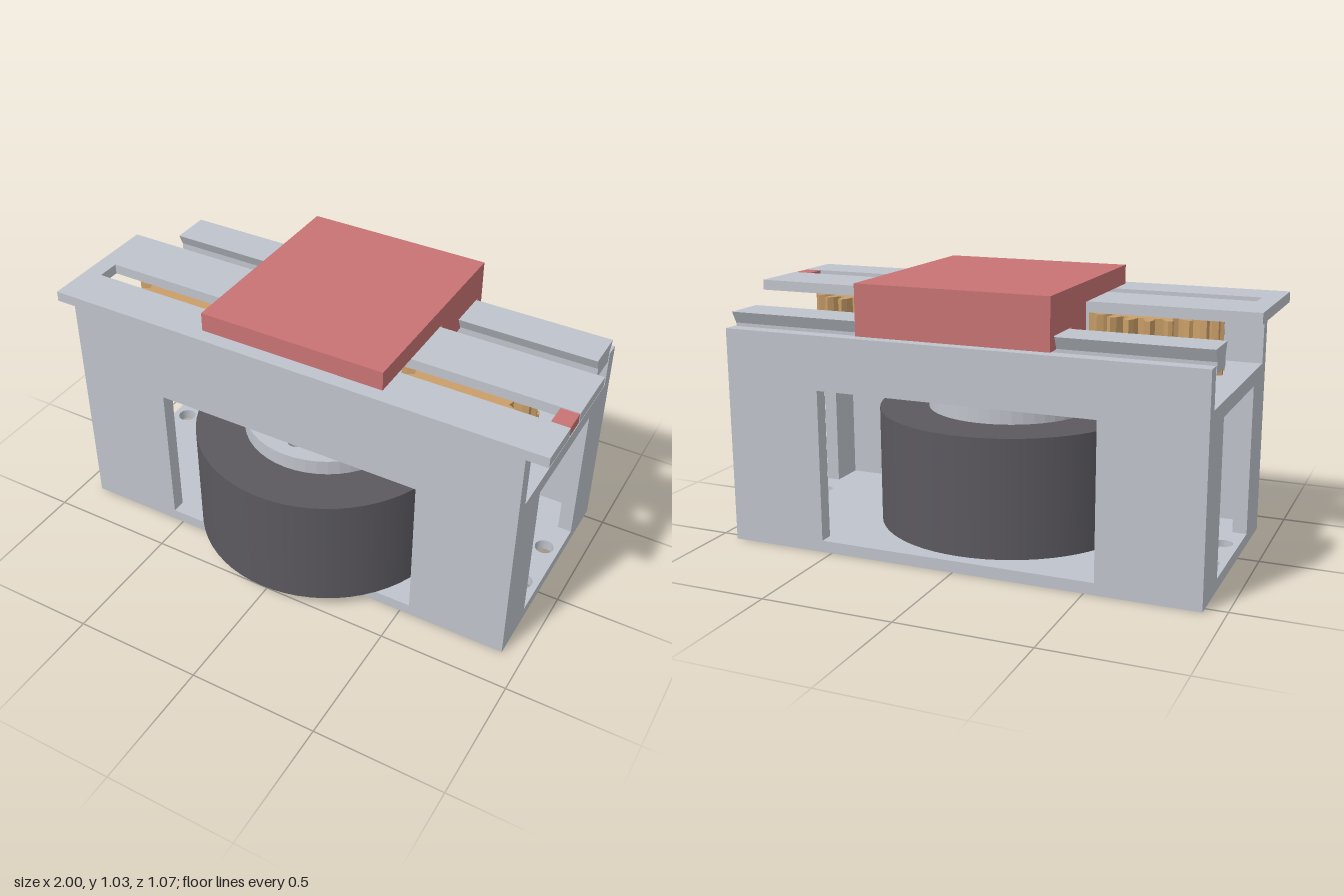
import * as THREE from 'three';

const mat = (name, color) => {
  const m = new THREE.MeshStandardMaterial({ color });
  m.name = name;
  return m;
};

export function createModel() {
  const grey = mat('light grey', 0xbfc3cb);
  const red = mat('muted red', 0xc87373);
  const tan = mat('tan', 0xc99e68);
  const green = mat('soft green', 0x6cc08c);
  const dark = mat('charcoal', 0x5b595f);
  const root = new THREE.Group();
  root.name = 'gearedSlideMechanism';
  const MZ = 0.025; // z of the motor and main gear axes

  const add = (name, geo, material, parent = root) => {
    const m = new THREE.Mesh(geo, material);
    m.name = name;
    parent.add(m);
    return m;
  };
  // box given by its limits
  const box = (name, x0, x1, y0, y1, z0, z1, material = grey, parent = root) =>
    add(name, new THREE.BoxGeometry(x1 - x0, y1 - y0, z1 - z0), material, parent)
      .position.set((x0 + x1) / 2, (y0 + y1) / 2, (z0 + z1) / 2);
  // plan outline (x, z) raised from y0 to y1
  const slab = (shape, y0, y1) => new THREE.ExtrudeGeometry(shape,
    { depth: y1 - y0, bevelEnabled: false, curveSegments: 24 }).rotateX(Math.PI / 2).translate(0, y1, 0);
  // side outline given as [z, y], extended along x
  const bar = (pts, half) => new THREE.ExtrudeGeometry(
    new THREE.Shape(pts.map(([z, y]) => new THREE.Vector2(-z, y))),
    { depth: 2 * half, bevelEnabled: false }).rotateY(Math.PI / 2).translate(-half, 0, 0);
  const hole = (x, z, r) => new THREE.Path().absarc(x, z, r, 0, Math.PI * 2, true);
  const cyl = (name, r, y0, y1, x, z, material, parent = root) =>
    add(name, new THREE.CylinderGeometry(r, r, y1 - y0, 64), material, parent)
      .position.set(x, (y0 + y1) / 2, z);

  // Housing floor with screw holes and a slotted centre hole
  const housing = new THREE.Group();
  housing.name = 'housing';
  root.add(housing);
  const floor = new THREE.Shape();
  floor.moveTo(-0.92, -0.535).lineTo(0.92, -0.535).lineTo(0.92, 0.35).lineTo(-0.92, 0.35).closePath();
  for (const x of [-0.86, 0.86]) for (const z of [0.016, -0.2]) floor.holes.push(hole(x, z, 0.037));
  const w = 0.028, R = 0.16, L = 0.37, a = Math.asin(w / R);
  const slot = new THREE.Path();
  slot.moveTo(R * Math.cos(a), MZ + w);
  slot.absarc(0, MZ, R, a, Math.PI - a, false);
  slot.absarc(-L, MZ, w, Math.PI / 2, Math.PI * 1.5, false);
  slot.absarc(0, MZ, R, Math.PI + a, Math.PI * 2 - a, false);
  slot.absarc(L, MZ, w, -Math.PI / 2, Math.PI / 2, false);
  slot.closePath();
  floor.holes.push(slot);
  add('floor', slab(floor, 0, 0.045), grey, housing);

  // Front and back walls with wide windows
  for (const [side, z0, z1, top] of [['front', 0.295, 0.35, 0.915], ['back', -0.535, -0.48, 0.83]]) {
    for (const s of [-1, 1])
      box(side + 'WallColumn', s < 0 ? -0.92 : 0.538, s < 0 ? -0.538 : 0.92, 0.045, 0.625, z0, z1, grey, housing);
    box(side + 'WallTop', -0.92, 0.92, 0.625, top, z0, z1, grey, housing);
  }
  // End walls: a column either side of each window
  for (const s of [-1, 1]) {
    const x0 = s < 0 ? -0.92 : 0.865;
    box('endColumnFront', x0, x0 + 0.055, 0.045, 0.625, 0.15, 0.295, grey, housing);
    box('endColumnBack', x0, x0 + 0.055, 0.045, 0.625, -0.48, -0.335, grey, housing);
  }
  box('gearShelf', -0.92, 0.92, 0.625, 0.682, -0.48, 0.295, grey, housing);

  // Slotted top plate: the slot is open at the right-hand end and plugged
  const plate = new THREE.Shape([[-1, -0.155], [1, -0.155], [1, 0.08], [-0.93, 0.08], [-0.93, 0.17],
    [1, 0.17], [1, 0.35], [-1, 0.35]].map(p => new THREE.Vector2(...p)));
  add('topPlate', slab(plate, 0.915, 0.955), grey);
  box('slotPlug', 0.93, 0.999, 0.916, 0.954, 0.084, 0.167, red);

  // Dovetail rail on slim posts
  add('dovetailRail', bar([[-0.35, 0.8], [-0.467, 0.8], [-0.467, 0.84], [-0.49, 0.885],
    [-0.33, 0.885], [-0.35, 0.84]], 0.92), grey);
  for (const x of [-0.8, 0.8]) cyl('railPost', 0.018, 0.682, 0.8, x, -0.408, grey);

  // Sliding carriage with a dovetail groove
  add('carriage', bar([[0.295, 1.03], [0.295, 0.956], [-0.172, 0.956], [-0.172, 0.8], [-0.3, 0.8],
    [-0.3, 0.84], [-0.345, 0.84], [-0.323, 0.89], [-0.497, 0.89], [-0.475, 0.84],
    [-0.535, 0.84], [-0.535, 1.03]], 0.37), red);

  // Motor: drum, drilled flange and boss
  const motor = new THREE.Group();
  motor.name = 'motor';
  root.add(motor);
  cyl('drum', 0.512, 0.046, 0.5, 0, MZ, dark, motor);
  const flange = new THREE.Shape().absarc(0, MZ, 0.322, 0, Math.PI * 2);
  for (let i = 0; i < 4; i++) {
    const t = i * Math.PI / 2;
    flange.holes.push(hole(0.235 * Math.cos(t), MZ + 0.235 * Math.sin(t), 0.033));
  }
  add('flange', slab(flange, 0.5, 0.56), grey, motor);
  cyl('boss', 0.145, 0.56, 0.622, 0, MZ, grey, motor);
  cyl('driveShaft', 0.14, 0.622, 0.69, 0, MZ, tan, motor);

  // Spur gears with tapered, blunt teeth
  const gear = (name, x, z, r, depth, teeth, y0, y1, phase, material) => {
    const pts = [];
    for (let i = 0; i < teeth; i++)
      for (const [t, d] of [[-0.3, depth], [-0.24, depth * 0.4], [-0.1, 0], [0.1, 0], [0.24, depth * 0.4], [0.3, depth]]) {
        const q = (i + t + phase) / teeth * Math.PI * 2;
        pts.push(new THREE.Vector2(x + (r - d) * Math.cos(q), z + (r - d) * Math.sin(q)));
      }
    add(name, slab(new THREE.Shape(pts), y0, y1), material);
  };
  gear('centreGear', 0, MZ, 0.25, 0.05, 20, 0.687, 0.795, 0.5, tan);
  for (const s of [-1, 1]) {
    gear('lowerGear', s * 0.575, MZ, 0.254, 0.05, 20, 0.687, 0.797, 0, tan);
    gear('upperGear', s * 0.575, MZ, 0.248, 0.055, 20, 0.797, 0.91, 0.5, tan);
    gear('idlerGear', s * 0.38, -0.352, 0.128, 0.055, 9, 0.685, 0.79, s < 0 ? 0.5 : 0, green);
  }
  return root;
}
